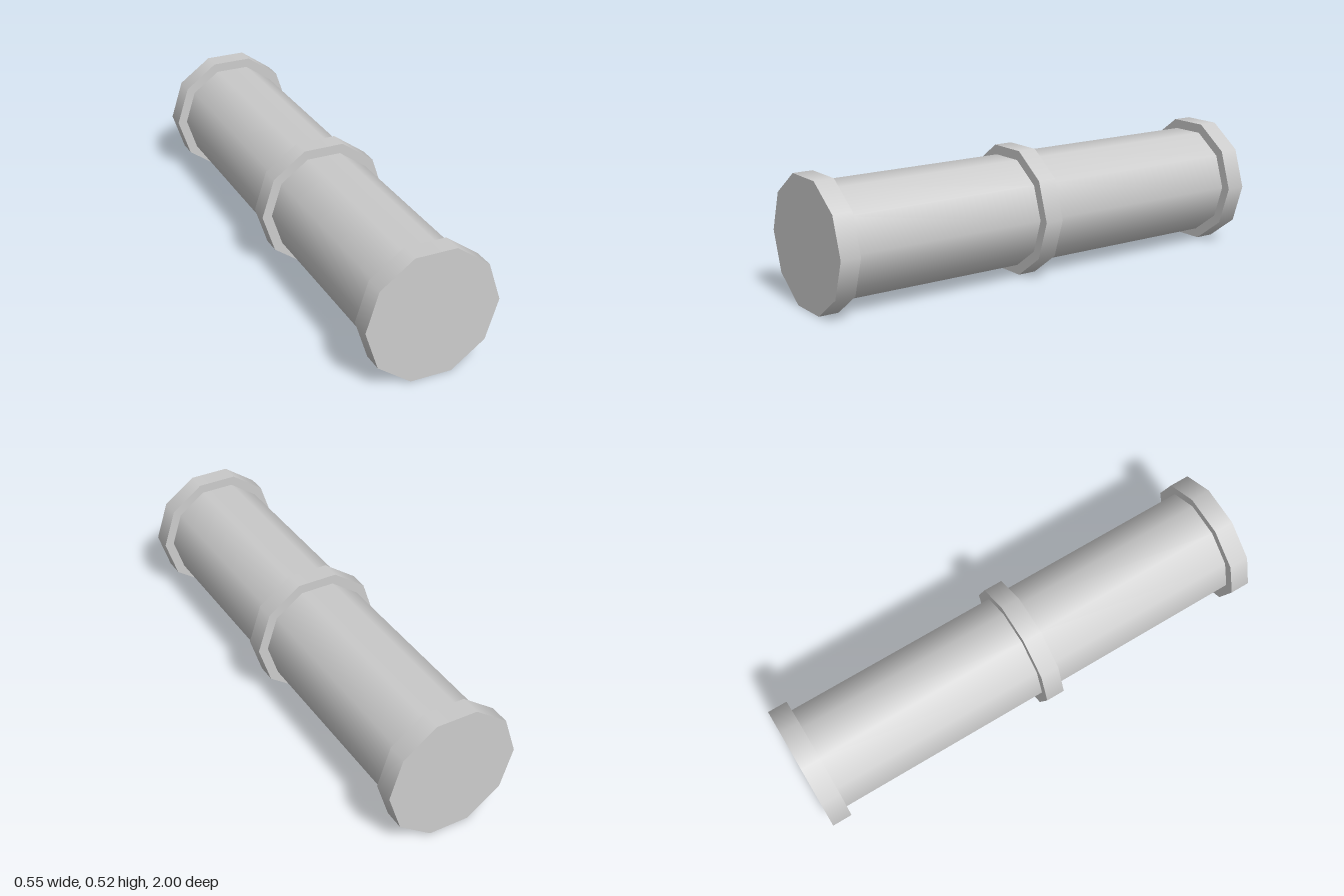
import * as THREE from 'three';

const SIDES = 10;
const COLLAR_RADIUS = 0.273;
const PIPE_RADIUS = 0.232;
const AXIS_HEIGHT = COLLAR_RADIUS * Math.cos(Math.PI / SIDES); // lowest flat rests on the ground

export function createModel() {
  const group = new THREE.Group();
  group.name = 'pipe';
  const material = new THREE.MeshStandardMaterial({ color: 0xcccccc });

  // Ten-sided cylinder lying along z, with corners pointing to +x and -x
  function addSection(name, radius, zBack, zFront) {
    const geometry = new THREE.CylinderGeometry(
      radius, radius, zFront - zBack, SIDES, 1, false, Math.PI / 2);
    geometry.rotateX(Math.PI / 2);
    const mesh = new THREE.Mesh(geometry, material);
    mesh.name = name;
    mesh.position.set(0, AXIS_HEIGHT, (zBack + zFront) / 2);
    group.add(mesh);
  }

  // Pipe sections between the collars
  addSection('backPipe', PIPE_RADIUS, -0.917, 0);
  addSection('frontPipe', PIPE_RADIUS, 0.08, 0.917);

  // Raised collars: both ends and one just ahead of the middle
  addSection('backCollar', COLLAR_RADIUS, -1, -0.917);
  addSection('middleCollar', COLLAR_RADIUS, 0, 0.08);
  addSection('frontCollar', COLLAR_RADIUS, 0.917, 1);

  return group;
}
